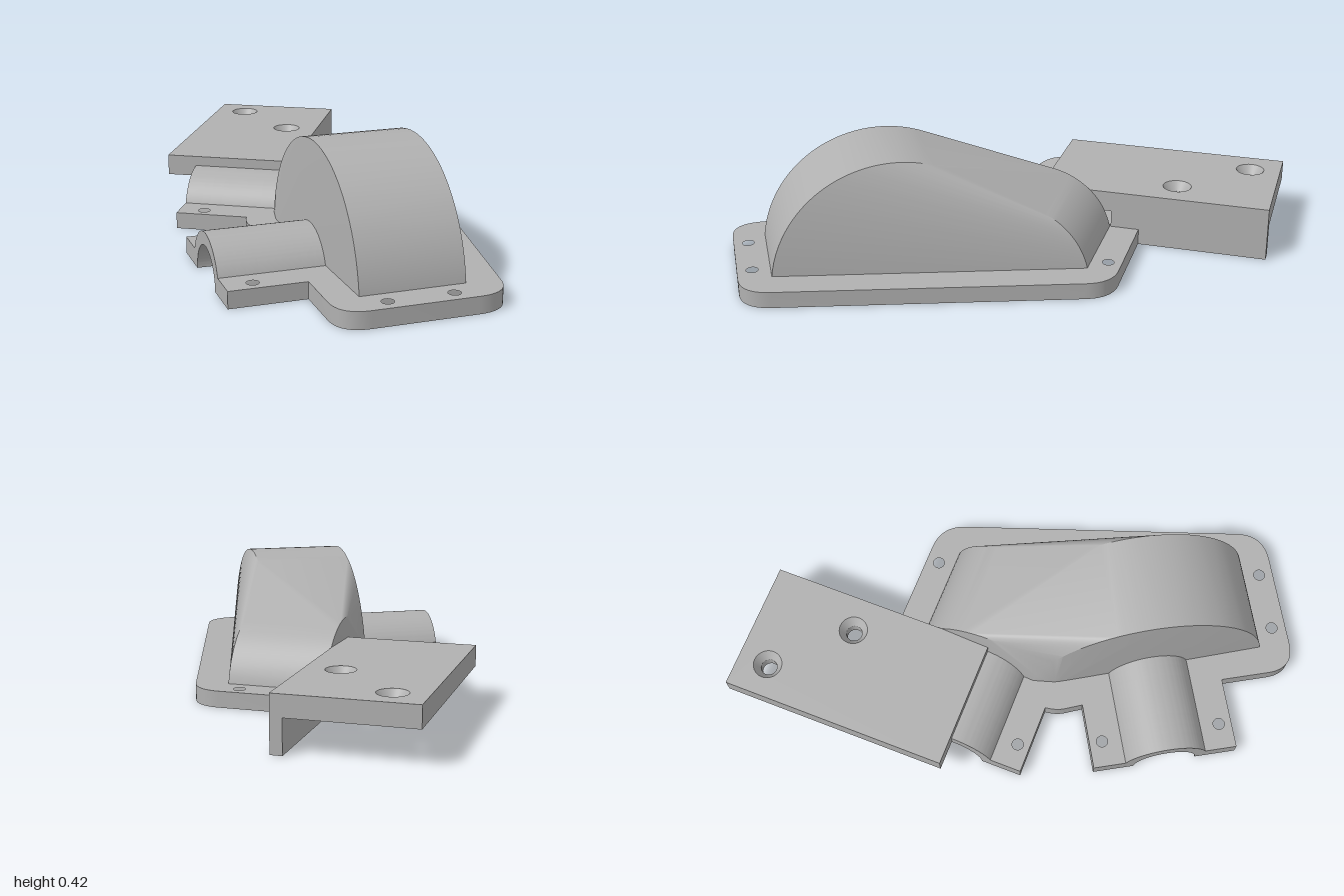
import * as THREE from 'three';
import { toCreasedNormals } from 'three/addons/utils/BufferGeometryUtils.js';
import { ConvexGeometry } from 'three/addons/geometries/ConvexGeometry.js';

const ANGLE = Math.PI / 6, C = Math.cos(ANGLE), S = Math.sin(ANGLE);
const AXIS_A = 0.476;   // z of the straight shaft
const AXIS_B = -0.053;  // local z of the angled shaft
// point in the angled shaft's frame: t along the shaft, n towards the back
const P = (t, n, d = 0) => [t * C + n * S, t * S - n * C, d];

export function createModel() {
  const model = new THREE.Group();
  const grey = new THREE.MeshStandardMaterial({ color: 0xb0b0b0 });
  grey.name = 'castGrey';
  const greyOpen = new THREE.MeshStandardMaterial({ color: 0xb0b0b0, side: THREE.DoubleSide });
  greyOpen.name = 'castGreyOpen';

  const add = (parent, name, geo, mat = grey) => {
    const mesh = new THREE.Mesh(geo, mat);
    mesh.name = name;
    parent.add(mesh);
    return mesh;
  };

  // outline with optional rounded corners: [x, z, cut length]
  const outline = (pts) => {
    const shape = new THREE.Shape();
    const v = pts.map((p) => new THREE.Vector2(p[0], p[1]));
    pts.forEach((p, i) => {
      const cur = v[i], prev = v[(i + v.length - 1) % v.length], next = v[(i + 1) % v.length];
      const d = p[2] || 0;
      const a = cur.clone().add(prev.clone().sub(cur).setLength(d));
      const b = cur.clone().add(next.clone().sub(cur).setLength(d));
      if (i === 0) shape.moveTo(a.x, a.y); else shape.lineTo(a.x, a.y);
      if (d) shape.quadraticCurveTo(cur.x, cur.y, b.x, b.y);
    });
    return shape;
  };

  // horizontal plate between two heights, with round holes
  const plate = (pts, y0, y1, holes = [], r = 0.02) => {
    const shape = outline(pts);
    for (const [x, z] of holes) shape.holes.push(new THREE.Path().absarc(x, z, r, 0, Math.PI * 2, true));
    const geo = new THREE.ExtrudeGeometry(shape, { depth: y1 - y0, bevelEnabled: false, curveSegments: 16 });
    geo.rotateX(Math.PI / 2).translate(0, y1, 0);
    return toCreasedNormals(geo, 0.6);
  };

  // half tube lying along x, from x0 to x1
  const halfTube = (rOut, rIn, x0, x1, z) => {
    const shape = new THREE.Shape();
    shape.absarc(0, 0, rOut, 0, Math.PI, false);
    shape.lineTo(-rIn, 0);
    shape.absarc(0, 0, rIn, Math.PI, 0, true);
    const geo = new THREE.ExtrudeGeometry(shape, { depth: x1 - x0, bevelEnabled: false, curveSegments: 32 });
    geo.rotateY(Math.PI / 2).translate(x0, 0, z);
    return toCreasedNormals(geo, 0.5);
  };

  // hull around both gear wheels, open underneath; inset makes the inner skin
  const domeSkin = (inset, inward) => {
    const pts = [], rA = 0.418 - inset, rB = 0.258 - inset, N = 48;
    for (let i = 0; i <= N; i++) {
      const c = Math.cos(i / N * Math.PI), s = i % N ? Math.sin(i / N * Math.PI) : 0;
      for (const x of [-0.145 + inset, 0.195 - inset]) pts.push(new THREE.Vector3(x, rA * s, AXIS_A + rA * c));
      for (const t of [-0.072 + inset, 0.268 - inset]) {
        const [x, z] = P(t, -AXIS_B + rB * c);
        pts.push(new THREE.Vector3(x, rB * s, z));
      }
    }
    const src = new ConvexGeometry(pts).getAttribute('position');
    const out = [];
    for (let i = 0; i < src.count; i += 3) {
      if ([0, 1, 2].every((k) => src.getY(i + k) < 1e-4)) continue;
      for (const k of inward ? [0, 2, 1] : [0, 1, 2]) out.push(src.getX(i + k), src.getY(i + k), src.getZ(i + k));
    }
    const geo = new THREE.BufferGeometry();
    geo.setAttribute('position', new THREE.Float32BufferAttribute(out, 3));
    return toCreasedNormals(geo, 0.4);
  };

  // flange, split by the two shaft channels and the gear cavity
  const mainFlange = [
    [-0.495, 0.586], [-0.495, 0.73], [-0.245, 0.73], [-0.245, 1, 0.1], [0.287, 1, 0.1], [0.506, -0.18, 0.09],
    P(-0.172, 0.408), P(-0.172, 0.308), P(-0.423, 0.308), P(-0.423, 0.163), P(-0.022, 0.163),
    P(-0.022, 0.263), P(0.218, 0.263), [0.145, 0.846], [-0.095, 0.846], [-0.095, 0.586],
  ];
  const neckFlange = [
    [-0.495, 0.366], [-0.095, 0.366], P(-0.022, -0.157), P(-0.022, -0.057), P(-0.423, -0.057),
    P(-0.423, -0.202), P(-0.174, -0.202), [-0.268, 0.13, 0.03], [-0.262, 0.22], [-0.495, 0.22],
  ];
  add(model, 'mainFlange', plate(mainFlange, 0, 0.056, [[-0.405, 0.685], [-0.08, 0.95], [0.13, 0.95], [0.36, -0.21]]));
  add(model, 'neckFlange', plate(neckFlange, 0, 0.056, [[-0.405, 0.265], [-0.37, -0.03]]));

  // gear cover
  add(model, 'gearCoverOuter', domeSkin(0, false));
  add(model, 'gearCoverInner', domeSkin(0.05, true));

  // shaft housing with stepped bore, and the bearing boss opposite
  const shaft = (parent, x0, x1, bossX, z) => {
    const steps = [0, 0.06, 0.09, 0.13, 0.27, 0.31, 0.33, x1 - x0];
    const bores = [0.11, 0.095, 0.11, 0.09, 0.11, 0.095, 0.11];
    bores.forEach((r, i) => add(parent, 'shaftHousing' + (i + 1), halfTube(0.153, r, x0 + steps[i], x0 + steps[i + 1], z)));
    add(parent, 'bearingBoss', halfTube(0.15, 0.08, bossX, bossX + 0.08, z));
  };
  const straight = new THREE.Group();
  straight.name = 'straightShaft';
  shaft(straight, -0.495, -0.1, 0.11, AXIS_A);
  const angled = new THREE.Group();
  angled.name = 'angledShaftAndBracket';
  angled.rotation.y = -ANGLE;
  shaft(angled, -0.423, -0.03, 0.175, AXIS_B);
  model.add(straight, angled);

  // mounting bracket: countersunk plate with one side wall
  const rect = [[-0.527, -0.856], [-0.072, -0.856], [-0.072, -0.053], [-0.527, -0.053]];
  const screws = [[-0.414, -0.748], [-0.19, -0.519]];
  add(angled, 'bracketLower', plate(rect, 0.115, 0.155, screws, 0.028));
  add(angled, 'bracketUpper', plate(rect, 0.155, 0.187, screws, 0.05));
  for (const [x, z] of screws) {
    const cone = new THREE.CylinderGeometry(0.05, 0.028, 0.032, 32, 1, true);
    add(angled, 'countersink', cone, greyOpen).position.set(x, 0.171, z);
  }
  add(angled, 'bracketSideWall', new THREE.BoxGeometry(0.04, 0.116, 0.548)).position.set(-0.092, 0.058, -0.582);

  return model;
}
